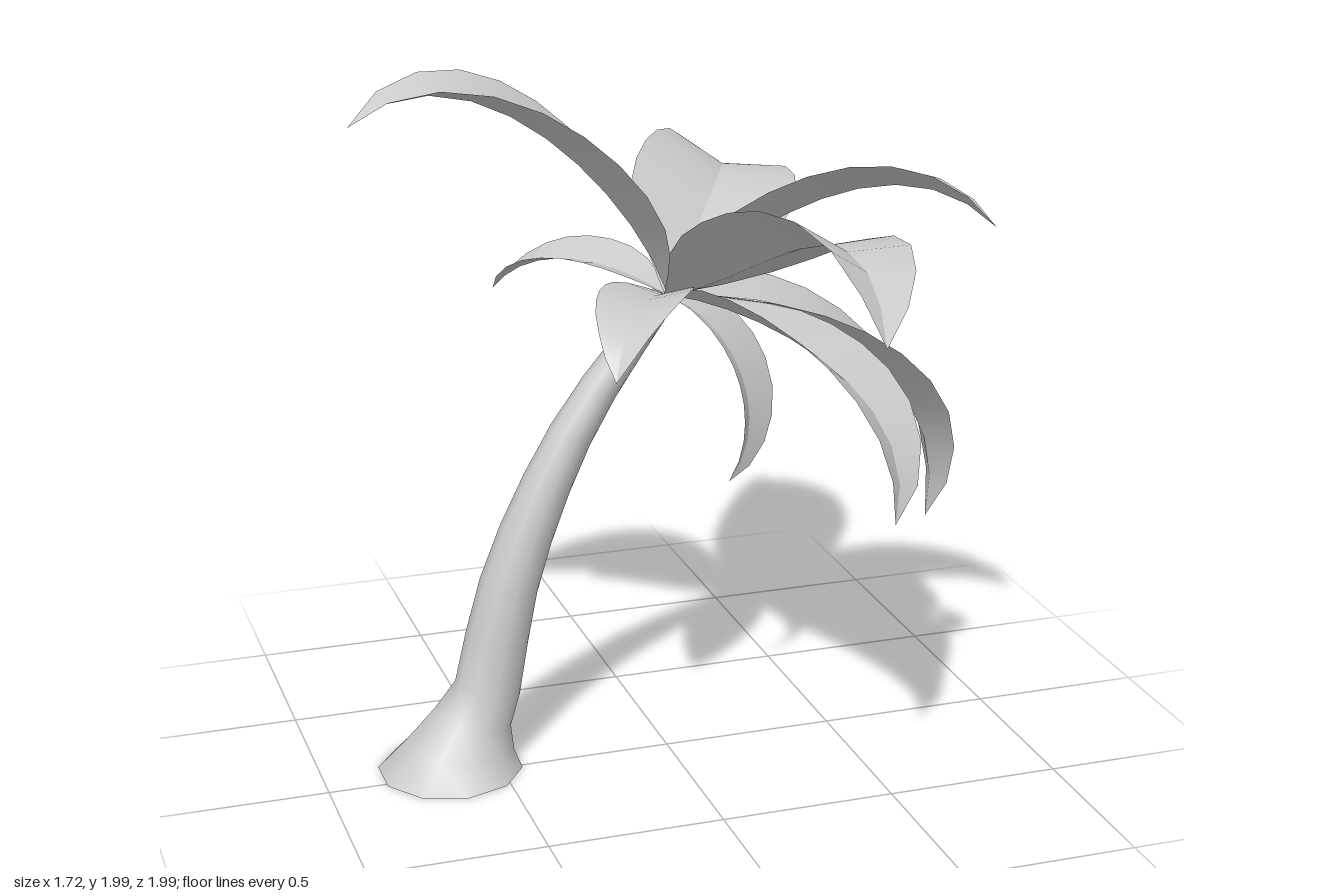
import * as THREE from 'three';
import { mergeVertices } from 'three/addons/utils/BufferGeometryUtils.js';

const material = new THREE.MeshStandardMaterial({ color: 0xcccccc, side: THREE.DoubleSide });
const UP = new THREE.Vector3(0, 1, 0);
const Z0 = -0.05; // depth of the trunk and crown centre
const CROWN = new THREE.Vector3(0.02, 1.35, Z0);

// Smooth surface through rows of points
function loft(rows) {
  const n = rows[0].length;
  const index = [];
  for (let i = 0; i < rows.length - 1; i++) {
    for (let j = 0; j < n - 1; j++) {
      const a = i * n + j, b = a + 1, c = a + n, d = c + 1;
      index.push(a, b, c, b, d, c);
    }
  }
  const geometry = new THREE.BufferGeometry().setFromPoints(rows.flat());
  geometry.setIndex(index);
  const welded = mergeVertices(geometry);
  welded.computeVertexNormals();
  return welded;
}

function addMesh(parent, geometry, name) {
  const mesh = new THREE.Mesh(geometry, material);
  mesh.name = name;
  parent.add(mesh);
}

// Ten-sided ring around the trunk, leaning towards +x by an angle
function ring(x, y, radius, lean, sides = 10) {
  return Array.from({ length: sides + 1 }, (_, i) => {
    const a = ((i % sides) / sides) * Math.PI * 2;
    const across = Math.sin(a) * radius;
    return new THREE.Vector3(x + across * Math.cos(lean), y - across * Math.sin(lean), Z0 + Math.cos(a) * radius);
  });
}

function createTrunk() {
  const trunk = new THREE.Group();
  trunk.name = 'trunk';

  // Flared foot
  const rings = [0, 0.3, 0.64].map((t) =>
    ring(-0.637 + 0.11 * t, 0.235 * t, 0.093 + 0.114 * (1 - t) ** 1.8, 0.4 * t));

  // Curved, tapering stem
  const spine = new THREE.SplineCurve([
    new THREE.Vector2(-0.522, 0.235), new THREE.Vector2(-0.435, 0.6),
    new THREE.Vector2(-0.25, 1), new THREE.Vector2(0.01, 1.35),
  ]);
  for (let i = 0; i <= 8; i++) {
    const t = i / 8;
    const p = spine.getPointAt(t);
    const tangent = spine.getTangentAt(t);
    rings.push(ring(p.x, p.y, 0.094 - 0.056 * t ** 1.2, Math.atan2(tangent.x, tangent.y)));
  }

  // Flat ends
  const bottomRim = rings[0], topRim = rings[rings.length - 1];
  const foot = bottomRim.map(() => new THREE.Vector3(-0.637, 0, Z0));
  const tip = topRim.map(() => new THREE.Vector3(0.01, 1.35, Z0));

  addMesh(trunk, loft(rings), 'trunkStem');
  addMesh(trunk, loft([foot, bottomRim]), 'trunkBase');
  addMesh(trunk, loft([topRim, tip]), 'trunkTop');
  return trunk;
}

// Cubic midrib that starts at the crown and passes p, q and the tip at equal steps
function midrib(p, q, tip) {
  const control = (a, b, c, d) => new THREE.Vector3()
    .addScaledVector(CROWN, a / 6).addScaledVector(p, b / 6)
    .addScaledVector(q, c / 6).addScaledVector(tip, d / 6);
  return new THREE.CubicBezierCurve3(CROWN, control(-5, 18, -9, 2), control(2, -9, 18, -5), tip);
}

// Leaf half-width along its length, as a share of the widest point
const OUTLINE = [0.06, 0.42, 0.76, 0.94, 1, 0.99, 0.92, 0.78, 0.57, 0.32, 0];
const FOLD = 0.28; // rise of the edges above the midrib

// A leaf is two strips meeting at a sharp midrib; roll tips its right edge up
function createLeaf(name, width, roll, ...points) {
  const leaf = new THREE.Group();
  leaf.name = name;
  const [p, q, tip] = points.map((point) => new THREE.Vector3(...point));
  const curve = midrib(p, q, tip);
  const heading = tip.clone().sub(CROWN).setY(0).normalize();
  const left = [], right = [];
  OUTLINE.forEach((share, i) => {
    const t = i / (OUTLINE.length - 1);
    const mid = curve.getPointAt(t);
    const tangent = curve.getTangentAt(t);
    // Blending in the overall heading keeps the side direction steady at steep tips
    const side = tangent.clone().setY(0).multiplyScalar(0.5).add(heading).cross(UP);
    side.addScaledVector(tangent, -side.dot(tangent)).normalize();
    side.applyAxisAngle(tangent, -roll);
    const normal = side.clone().cross(tangent);
    const edge = (s) => mid.clone()
      .addScaledVector(side, s * width * share)
      .addScaledVector(normal, FOLD * width * share);
    left.push([edge(-1), mid]);
    right.push([mid, edge(1)]);
  });
  addMesh(leaf, loft(left), name + 'LeftHalf');
  addMesh(leaf, loft(right), name + 'RightHalf');
  return leaf;
}

export function createModel() {
  const model = new THREE.Group();
  model.name = 'palmTree';
  model.add(createTrunk());

  const crown = new THREE.Group();
  crown.name = 'crown';
  // Large raised leaves
  crown.add(createLeaf('backLeaf', 0.235, -0.3, [0.21, 1.48, -0.33], [0.39, 1.55, -0.66], [0.47, 1.4, -1]));
  crown.add(createLeaf('upperRightLeaf', 0.235, 0, [-0.19, 1.69, Z0], [-0.52, 1.93, Z0], [-0.865, 1.885, Z0]));
  crown.add(createLeaf('upperLeftLeaf', 0.215, 0.25, [0.26, 1.555, 0.06], [0.56, 1.675, 0.18], [0.82, 1.58, 0.36]));
  crown.add(createLeaf('frontLeaf', 0.225, 0.28, [0.16, 1.52, 0.3], [0.25, 1.645, 0.65], [0.24, 1.48, 0.99]));
  // Large drooping leaves
  crown.add(createLeaf('droopingLeftLeaf', 0.235, 0, [0.41, 1.245, Z0], [0.735, 0.99, Z0], [0.82, 0.6, Z0]));
  crown.add(createLeaf('droopingFrontLeaf', 0.19, 0.33, [0.22, 1.32, 0.27], [0.39, 1.165, 0.55], [0.395, 0.9, 0.715]));
  // Small leaves
  crown.add(createLeaf('smallFrontLeaf', 0.12, 0, [-0.1, 1.405, 0.15], [-0.21, 1.385, 0.325], [-0.28, 1.27, 0.43]));
  crown.add(createLeaf('smallBackLeaf', 0.13, 0, [-0.14, 1.42, -0.175], [-0.29, 1.415, -0.28], [-0.4, 1.32, -0.37]));
  crown.add(createLeaf('smallDroopingLeaf', 0.13, 0, [0.18, 1.2, -0.01], [0.235, 1, 0.03], [0.165, 0.82, 0.06]));
  model.add(crown);
  return model;
}
